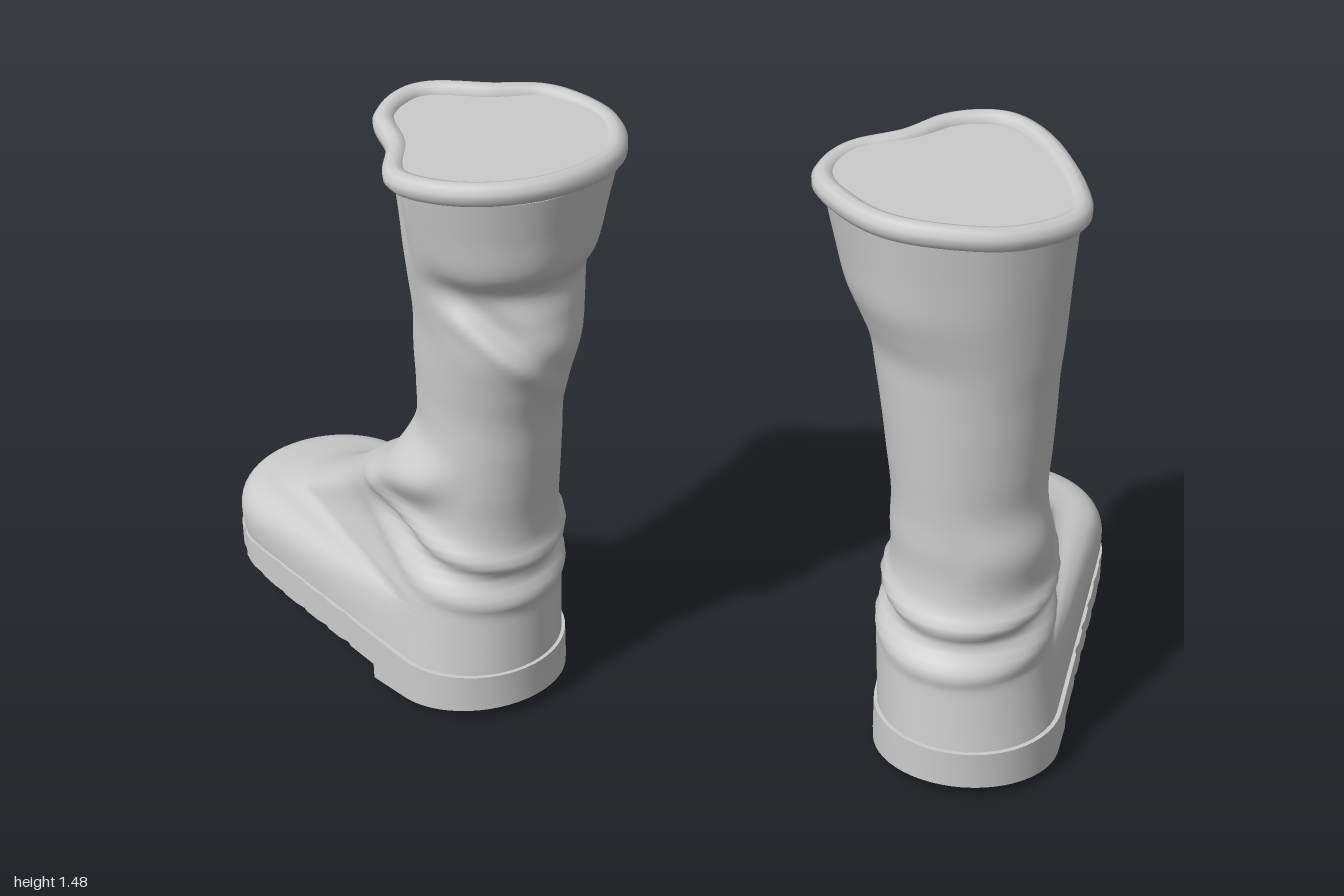
import * as THREE from 'three';
import { toCreasedNormals } from 'three/addons/utils/BufferGeometryUtils.js';

const material = new THREE.MeshStandardMaterial({ color: 0xcccccc, side: THREE.DoubleSide });
const N = 112; // points around each section

// Toe cap per height: y, distance ahead of the heel, radius
const TOE = [
  [0.1, 0.65, 0.235], [0.15, 0.655, 0.242], [0.2, 0.655, 0.24], [0.235, 0.65, 0.222], [0.255, 0.645, 0.19],
  [0.268, 0.63, 0.14], [0.28, 0.585, 0.122], [0.3, 0.53, 0.12], [0.4, 0.345, 0.13], [0.5, 0.19, 0.155], [0.6, 0.04, 0.17],
];
const LEVELS = [...TOE.map((row) => row[0]), 0.7, 0.8, 0.9, 1, 1.08, 1.15, 1.22, 1.32, 1.42];

// Linear lookup in a table whose first column is y
function lookup(table, y) {
  let i = 0;
  while (i < table.length - 2 && table[i + 1][0] < y) i++;
  const t = THREE.MathUtils.clamp((y - table[i][0]) / (table[i + 1][0] - table[i][0]), 0, 1);
  return table[i].map((v, k) => THREE.MathUtils.lerp(v, table[i + 1][k], t));
}
const bump = (d, w) => Math.exp(-(d * d) / (w * w));
const { smoothstep } = THREE.MathUtils;

// extents: y, x0, x1, z0, z1 of heel and shaft; rim: outline (x, z) starting at the back
function makeBoot({ name, heelAt, angle, side, stretch, extents, rim }) {
  const a = THREE.MathUtils.degToRad(angle);
  const dir = new THREE.Vector2(side * Math.sin(a), -Math.cos(a));
  const heel = new THREE.Vector2(...heelAt);
  const along = (x, z) => ((x - heel.x) * dir.x + (z - heel.y) * dir.y) / stretch;
  const start = Math.atan2(-dir.y, -dir.x);

  const rimCurve = new THREE.CatmullRomCurve3(rim.map(([x, z]) => new THREE.Vector3(x, 0, z)), true);
  const rimPts = rimCurve.getSpacedPoints(240);
  const box = new THREE.Box3().setFromPoints(rimPts);
  const rimMid = box.getCenter(new THREE.Vector3());
  const rimHalf = box.getSize(new THREE.Vector3()).multiplyScalar(0.5);

  // Horizontal section: heel or shaft oval joined tangentially to the toe circle
  function section(y, grow = 0) {
    const [, x0, x1, z0, z1] = lookup(extents, y);
    const [, ahead, radius] = lookup(TOE, y);
    const c = new THREE.Vector2((x0 + x1) / 2, (z0 + z1) / 2);
    const hx = (x1 - x0) / 2 + grow, hz = (z1 - z0) / 2 + grow;
    const toe = heel.clone().addScaledVector(dir, ahead * stretch);
    const blend = smoothstep(y, 0.85, 1.4);
    const pts = [];
    for (let i = 0; i < 240; i++) {
      const t = start + (i / 240) * Math.PI * 2;
      const n = new THREE.Vector2(Math.cos(t), Math.sin(t));
      const k = Math.hypot(hx * n.x, hz * n.y);
      let p = new THREE.Vector2(c.x + (hx * hx * n.x) / k, c.y + (hz * hz * n.y) / k);
      if (y < 0.62) {
        const q = toe.clone().addScaledVector(n, radius + grow);
        if (q.dot(n) > p.dot(n)) p = q;
      } else {
        const r = rimPts[i].clone().sub(rimMid).divide(new THREE.Vector3(rimHalf.x, 1, rimHalf.z));
        p.lerp(new THREE.Vector2(c.x + hx * r.x, c.y + hz * r.z), blend);
      }
      pts.push(p);
    }
    return new THREE.Path().setFromPoints([...pts, pts[0]]).getSpacedPoints(N).slice(0, N);
  }

  // Creases at the ankle, plus a diagonal crease behind one calf
  function fold(x, y, z) {
    const u = along(x, z);
    const h = y - 0.25 * u;
    let d = 0.016 * bump(h - 0.46, 0.022) - 0.014 * bump(h - 0.415, 0.025) + 0.012 * bump(h - 0.36, 0.025);
    d *= 1 - smoothstep(u, 0.12, 0.32);
    if (side < 0) {
      const s = y + 0.9 * (x + 0.6);
      d += smoothstep(z, 0, 0.1) * bump(x + 0.62, 0.12) * (0.014 * bump(s - 0.99, 0.03) - 0.025 * bump(s - 1.06, 0.04));
    }
    return d;
  }

  const group = new THREE.Group();
  group.name = name;
  const add = (part, geometry) => {
    const mesh = new THREE.Mesh(geometry, material);
    mesh.name = part;
    group.add(mesh);
  };

  // Upper: sections splined upwards from the welt to the rim
  const sections = LEVELS.map((y) => section(y));
  const rows = (LEVELS.length - 1) * 6;
  const pos = [], index = [];
  for (let i = 0; i < N; i++) {
    const curve = new THREE.CatmullRomCurve3(sections.map((s, j) => new THREE.Vector3(s[i].x, LEVELS[j], s[i].y)));
    for (const p of curve.getPoints(rows)) {
      const c = new THREE.Vector2(p.x - heel.x, p.z - heel.y).normalize();
      const d = fold(p.x, p.y, p.z);
      pos.push(p.x + c.x * d, p.y, p.z + c.y * d);
    }
    for (let j = 0; j < rows; j++) {
      const p = i * (rows + 1) + j, q = ((i + 1) % N) * (rows + 1) + j;
      index.push(p, p + 1, q, q, p + 1, q + 1);
    }
  }
  const upper = new THREE.BufferGeometry();
  upper.setAttribute('position', new THREE.Float32BufferAttribute(pos, 3));
  upper.setIndex(index);
  upper.computeVertexNormals();
  add('upper', upper);

  // Slab with a flat top and an underside shaped by a rule along the foot
  function slab(outline, top, underside) {
    const g = new THREE.ExtrudeGeometry(new THREE.Shape(outline), { depth: 0.1, bevelEnabled: false }).rotateX(Math.PI / 2);
    const p = g.attributes.position;
    for (let i = 0; i < p.count; i++) {
      p.setY(i, p.getY(i) < -0.05 ? underside(along(p.getX(i), p.getZ(i))) : top);
    }
    return toCreasedNormals(g, 0.6);
  }
  const sole = section(0.12, 0.009).map((p, i) => {
    const notch = along(p.x, p.y) > 0.2 && i % 4 === 0 ? 0.008 : 0;
    return p.addScaledVector(p.clone().sub(heel).normalize(), -notch);
  });
  add('sole', slab(sole, 0.128, (u) => 0.042 + 0.032 * smoothstep(u, 0.5, 0.9)));
  const heelEdge = section(0.12, 0.008).filter((p) => along(p.x, p.y) < 0.125);
  // start the open outline at one front corner so that it closes straight across
  const gap = heelEdge.findIndex((p, i) => i > 0 && p.distanceTo(heelEdge[i - 1]) > 0.1);
  const heelOutline = [...heelEdge.slice(gap), ...heelEdge.slice(0, gap)];
  add('heelBlock', slab(heelOutline, 0.1, (u) => THREE.MathUtils.mapLinear(u, -0.22, 0.125, 0.035, 0)));

  // Rolled rim and the flat surface closing the shaft
  const inner = rimPts.slice(0, 240).map((p, i) => {
    const d = p.clone().sub(rimMid);
    d.setLength(d.length() - 0.028);
    return d.add(rimMid).setY(1.44 + 0.008 * Math.sin((i / 60) * Math.PI + 1));
  });
  const path = new THREE.CatmullRomCurve3(inner.filter((_, i) => i % 5 === 0), true);
  add('rim', new THREE.TubeGeometry(path, 120, 0.028, 10, true));
  const lid = new THREE.ShapeGeometry(new THREE.Shape(inner.map((p) => new THREE.Vector2(p.x, -p.z))));
  add('shaftTop', lid.rotateX(-Math.PI / 2).translate(0, 1.452, 0));
  return group;
}

export function createModel() {
  const model = new THREE.Group();
  model.name = 'boots';
  model.add(makeBoot({
    name: 'leftBoot', heelAt: [-0.62, -0.08], angle: 11, side: -1, stretch: 1,
    extents: [
      [0.1, -0.835, -0.41, -0.29, 0.14], [0.3, -0.81, -0.4, -0.28, 0.117], [0.5, -0.75, -0.4, -0.28, 0.105],
      [0.8, -0.725, -0.39, -0.285, 0.14], [1, -0.73, -0.35, -0.315, 0.2], [1.15, -0.75, -0.315, -0.335, 0.16],
      [1.22, -0.762, -0.295, -0.345, 0.205], [1.42, -0.79, -0.24, -0.37, 0.235],
    ],
    rim: [
      [-0.5, 0.25], [-0.65, 0.23], [-0.76, 0.15], [-0.82, 0.03], [-0.76, -0.14], [-0.72, -0.31],
      [-0.6, -0.39], [-0.43, -0.31], [-0.29, -0.24], [-0.22, -0.05], [-0.31, 0.16],
    ],
  }));
  model.add(makeBoot({
    name: 'rightBoot', heelAt: [0.31, 0.74], angle: 38.7, side: 1, stretch: 1.075,
    extents: [
      [0.1, 0.095, 0.53, 0.52, 0.95], [0.3, 0.1, 0.515, 0.5, 0.91], [0.5, 0.14, 0.53, 0.49, 0.87],
      [0.7, 0.138, 0.505, 0.5, 0.853], [1, 0.11, 0.53, 0.445, 0.86], [1.1, 0.1, 0.543, 0.425, 0.868],
      [1.2, 0.055, 0.555, 0.405, 0.875], [1.42, 0.02, 0.575, 0.345, 0.89],
    ],
    rim: [
      [0.12, 0.84], [0.03, 0.74], [0, 0.61], [0.03, 0.42], [0.16, 0.32], [0.32, 0.325], [0.46, 0.312],
      [0.57, 0.37], [0.6, 0.5], [0.55, 0.74], [0.46, 0.88], [0.27, 0.91],
    ],
  }));
  return model;
}
